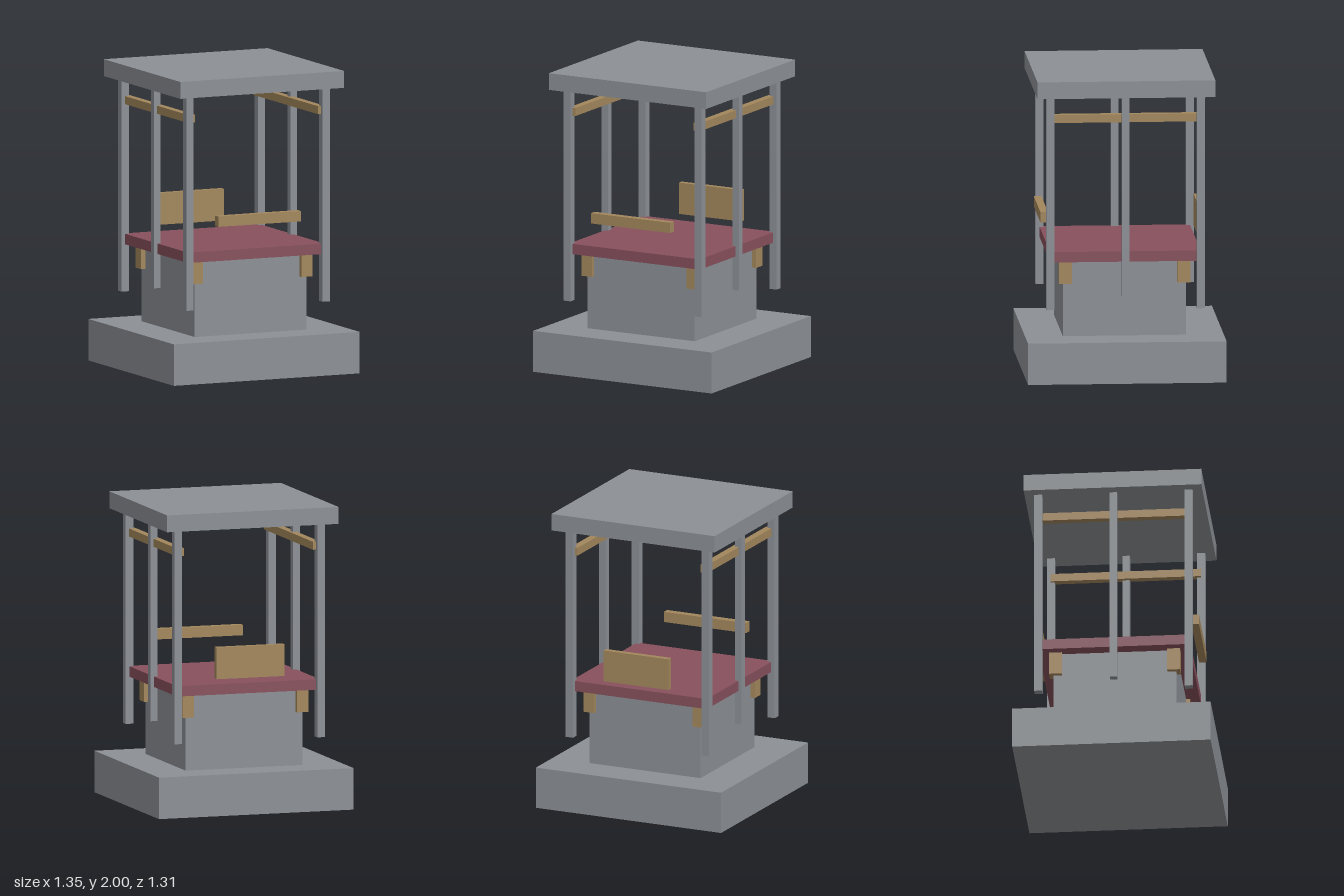
import * as THREE from 'three';

export function createModel() {
  const model = new THREE.Group();
  model.name = 'canopiedPedestal';

  const material = (name, color) => {
    const m = new THREE.MeshStandardMaterial({ color });
    m.name = name;
    return m;
  };
  const stone = material('greyStone', 0x8c9095);
  const wood = material('tanWood', 0xa3875c);
  const cloth = material('dullRed', 0x87505c);

  // Box given by its width, depth, bottom and top heights, and centre in x and z
  const box = (name, mat, w, d, y0, y1, x = 0, z = 0) => {
    const mesh = new THREE.Mesh(new THREE.BoxGeometry(w, y1 - y0, d), mat);
    mesh.position.set(x, (y0 + y1) / 2, z);
    mesh.name = name;
    model.add(mesh);
  };

  // Stacked body
  box('base', stone, 1.35, 1.306, 0, 0.275);
  box('pedestal', stone, 0.81, 0.81, 0.275, 0.782);
  box('platform', cloth, 0.99, 0.99, 0.782, 0.851);
  box('roof', stone, 1.19, 1.17, 1.888, 2);

  const post = 0.495;
  for (const sx of [-1, 1]) {
    // Corner posts and the brackets below the platform
    for (const sz of [-1, 1]) {
      box('cornerPost', stone, 0.053, 0.053, 0.47, 1.888, sx * post, sz * post);
      box('bracket', wood, 0.079, 0.085, 0.629, 0.782, sx * 0.397, sz * 0.389);
    }
    // Shorter middle post and the rail under the roof
    box('middlePost', stone, 0.048, 0.048, 0.555, 1.888, sx * post, 0);
    box('sideRail', wood, 0.05, 0.99, 1.711, 1.764, sx * 0.472, 0);
  }

  // Front bar and back panel
  box('frontBar', wood, 0.6, 0.05, 1.016, 1.085, 0, 0.52);
  box('backPanel', wood, 0.472, 0.04, 0.891, 1.101, 0, -0.52);

  return model;
}
